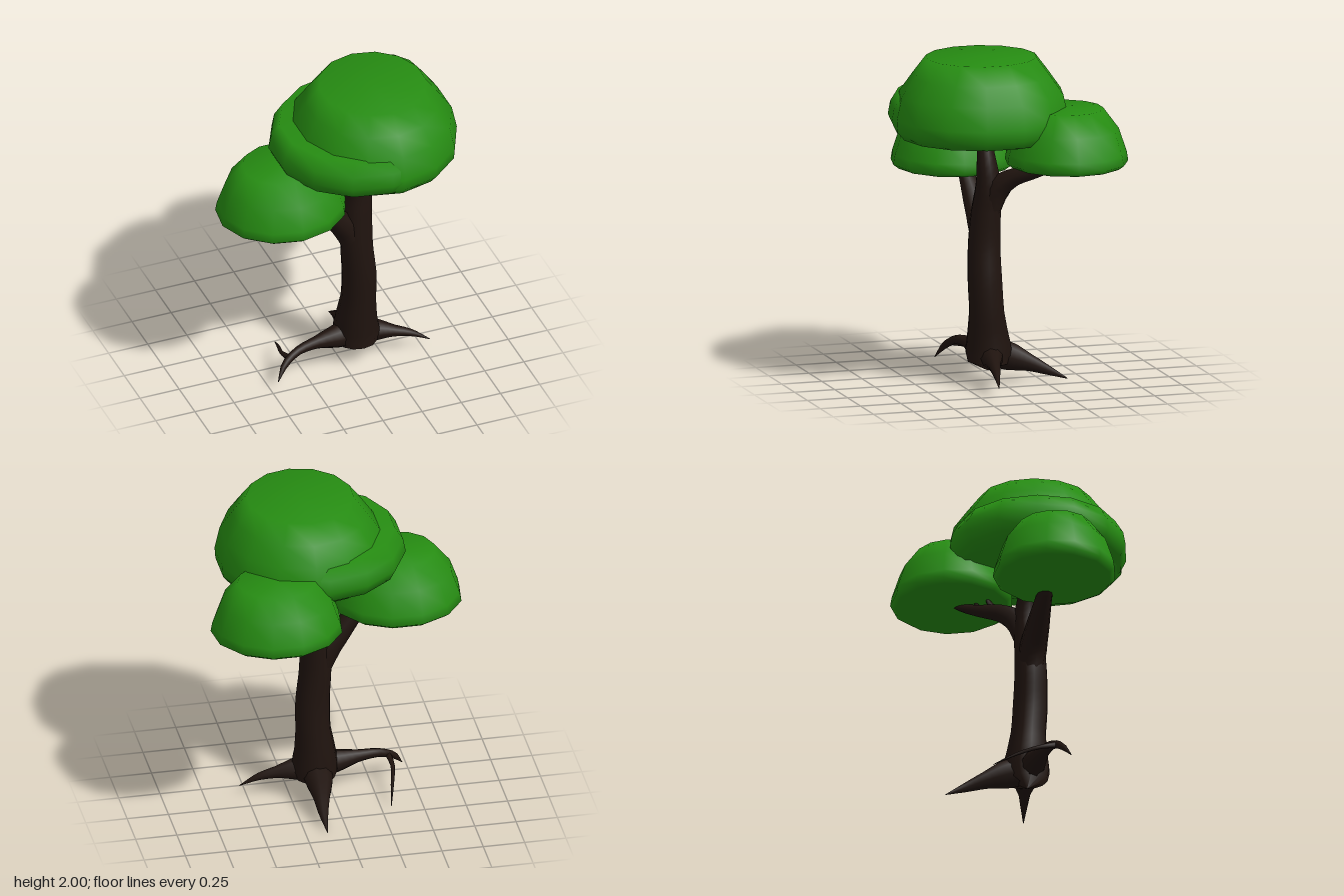
import * as THREE from 'three';

const bark = new THREE.MeshStandardMaterial({ color: 0x20140f });
const leaf = new THREE.MeshStandardMaterial({ color: 0x268c12 });

// Tapering limb through [x, y, z, radius] points
function limb(name, points, segments = 14, sides = 9) {
  const curve = new THREE.CatmullRomCurve3(points.map(p => new THREE.Vector3(p[0], p[1], p[2])));
  const geometry = new THREE.TubeGeometry(curve, segments, 1, sides);
  const pos = geometry.attributes.position;
  const centre = new THREE.Vector3(), v = new THREE.Vector3();
  for (let i = 0; i <= segments; i++) {
    curve.getPointAt(i / segments, centre);
    const t = curve.getUtoTmapping(i / segments) * (points.length - 1);
    const k = Math.min(Math.floor(t), points.length - 2);
    const radius = THREE.MathUtils.lerp(points[k][3], points[k + 1][3], t - k);
    for (let j = 0; j <= sides; j++) {
      const n = i * (sides + 1) + j;
      v.fromBufferAttribute(pos, n).sub(centre).multiplyScalar(radius).add(centre);
      pos.setXYZ(n, v.x, v.y, v.z);
    }
  }
  const mesh = new THREE.Mesh(geometry, bark);
  mesh.name = name;
  return mesh;
}

// Flat-topped leaf dome; profile lists [radius, height] from the underside up
function dome(name, x, z, zScale, profile, sides = 13) {
  const points = profile.map(([r, y]) => new THREE.Vector2(r, y));
  const mesh = new THREE.Mesh(new THREE.LatheGeometry(points, sides), leaf);
  mesh.name = name;
  mesh.position.set(x, 0, z);
  mesh.scale.z = zScale;
  return mesh;
}

// Profile shared by the two side clumps
const sideProfile = base => [
  [0, 0], [0.36, 0], [0.395, 0.025], [0.385, 0.08], [0.335, 0.22], [0.235, 0.345], [0, 0.345],
].map(([r, y]) => [r, y + base]);

export function createModel() {
  const tree = new THREE.Group();
  tree.name = 'tree';

  // Trunk, running up into the top canopy
  tree.add(limb('trunk', [
    [0.1, 0.08, 0.08, 0.002], [0.1, 0.12, 0.08, 0.12], [0.1, 0.2, 0.075, 0.145], [0.1, 0.3, 0.08, 0.125],
    [0.108, 0.45, 0.09, 0.105], [0.108, 0.62, 0.1, 0.105], [0.092, 0.85, 0.1, 0.098],
    [0.1, 1.05, 0.09, 0.09], [0.112, 1.2, 0.08, 0.078], [0.095, 1.33, 0.085, 0.062],
    [0.035, 1.51, 0.085, 0.036], [0.01, 1.6, 0.085, 0.01],
  ], 30, 12));

  // Branches and twigs
  tree.add(limb('leftBranch', [
    [0.09, 0.78, 0.1, 0.07], [0.035, 0.95, 0.1, 0.085], [-0.055, 1.07, 0.11, 0.072],
    [-0.14, 1.17, 0.12, 0.055], [-0.21, 1.26, 0.13, 0.042], [-0.26, 1.35, 0.14, 0.01],
  ]));
  tree.add(limb('rightBranch', [
    [0.12, 1.05, 0.07, 0.06], [0.155, 1.19, 0.03, 0.075], [0.205, 1.26, -0.05, 0.055],
    [0.28, 1.3, -0.16, 0.038], [0.36, 1.345, -0.25, 0.025], [0.44, 1.4, -0.33, 0.006],
  ]));
  tree.add(limb('twig', [
    [0.21, 1.27, -0.06, 0.03], [0.24, 1.32, -0.11, 0.02], [0.26, 1.4, -0.14, 0.005],
  ], 6, 6));
  tree.add(limb('twig', [
    [0.28, 1.3, -0.16, 0.025], [0.31, 1.34, -0.18, 0.018], [0.33, 1.4, -0.19, 0.005],
  ], 6, 6));

  // Roots
  tree.add(limb('leftRoot', [
    [0.1, 0.2, 0.08, 0.08], [-0.02, 0.195, 0.095, 0.075], [-0.18, 0.2, 0.12, 0.036],
    [-0.31, 0.188, 0.15, 0.026], [-0.4, 0.14, 0.185, 0.022], [-0.46, 0.06, 0.23, 0.002],
  ]));
  tree.add(limb('leftRootlet', [
    [-0.36, 0.165, 0.16, 0.02], [-0.37, 0.14, 0.07, 0.013], [-0.34, 0.095, -0.07, 0.01],
    [-0.305, 0.025, -0.21, 0.002],
  ], 8, 6));
  tree.add(limb('rightRoot', [
    [0.1, 0.19, 0.08, 0.08], [0.21, 0.175, 0.09, 0.07], [0.32, 0.152, 0.11, 0.037],
    [0.43, 0.12, 0.13, 0.022], [0.54, 0.06, 0.15, 0.002],
  ]));
  tree.add(limb('backRoot', [
    [0.1, 0.2, 0.07, 0.09], [0.1, 0.155, -0.06, 0.085], [0.11, 0.11, -0.18, 0.05],
    [0.12, 0.06, -0.29, 0.028], [0.12, 0.003, -0.41, 0.002],
  ]));

  // Leaf clumps
  tree.add(dome('leftCanopy', -0.405, 0.14, 0.925, sideProfile(1.225)));
  tree.add(dome('backCanopy', 0.408, -0.31, 0.925, sideProfile(1.36)));
  tree.add(dome('lowerTopCanopy', 0.1, 0.145, 0.96, [
    [0, 1.51], [0.42, 1.51], [0.52, 1.55], [0.555, 1.62], [0.54, 1.7], [0.49, 1.78], [0, 1.78],
  ], 14));
  tree.add(dome('upperTopCanopy', 0.175, 0.145, 1.04, [
    [0, 1.52], [0.46, 1.52], [0.5, 1.57], [0.505, 1.64], [0.475, 1.78],
    [0.4, 1.89], [0.32, 2], [0, 2],
  ], 14));

  return tree;
}
